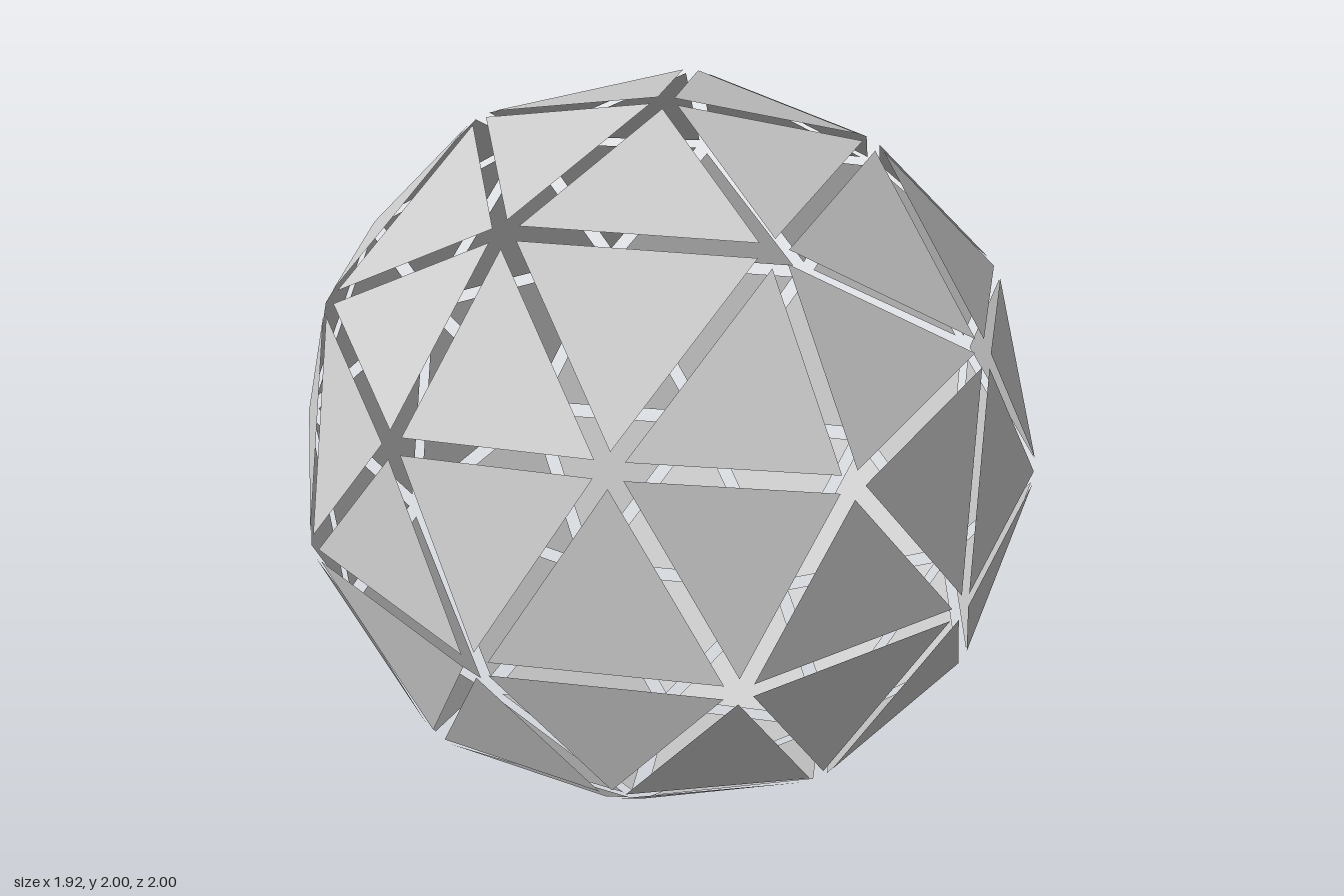
import * as THREE from 'three';

const SHRINK = 0.88; // each panel shrinks about its own centre, leaving gaps
const RADIUS = 1.012; // sphere radius before the gaps are cut

// Point on the unit sphere from height and azimuth in steps of 36 degrees
function onSphere(y, step) {
  const r = Math.sqrt(1 - y * y);
  const a = (step * Math.PI) / 5;
  return new THREE.Vector3(r * Math.cos(a), y, r * Math.sin(a));
}

const middle = (a, b) => a.clone().add(b).normalize();

// One thin triangular panel, wound to face outward
function makePanel(corners, material, name) {
  const [a, b, c] = corners;
  const centre = new THREE.Vector3().add(a).add(b).add(c).divideScalar(3);
  const normal = b.clone().sub(a).cross(c.clone().sub(a));
  const ordered = normal.dot(centre) > 0 ? [a, b, c] : [a, c, b];
  const points = ordered.map((p) => centre.clone().lerp(p, SHRINK).multiplyScalar(RADIUS));
  const geometry = new THREE.BufferGeometry().setFromPoints(points);
  geometry.computeVertexNormals();
  const mesh = new THREE.Mesh(geometry, material);
  mesh.name = name;
  return mesh;
}

export function createModel() {
  const model = new THREE.Group();
  model.name = 'panelSphere';
  const material = new THREE.MeshStandardMaterial({
    color: 0xcccccc, flatShading: true, side: THREE.DoubleSide,
  });

  // Each large face splits into three corner panels and a central one
  function addFace(group, a, b, c) {
    const ab = middle(a, b), bc = middle(b, c), ca = middle(c, a);
    group.add(
      makePanel([a, ab, ca], material, 'cornerPanel'),
      makePanel([b, bc, ab], material, 'cornerPanel'),
      makePanel([c, ca, bc], material, 'cornerPanel'),
      makePanel([ab, bc, ca], material, 'centrePanel'),
    );
  }

  const top = onSphere(1, 0);
  const bottom = onSphere(-1, 0);
  const ringY = 1 / Math.sqrt(5);
  const upper = (i) => onSphere(ringY, 2 * i);
  const lower = (i) => onSphere(-ringY, 2 * i + 1);

  const names = ['topCap', 'upperBand', 'lowerBand', 'bottomCap'];
  const [topCap, upperBand, lowerBand, bottomCap] = names.map((name) => {
    const group = new THREE.Group();
    group.name = name;
    model.add(group);
    return group;
  });

  // Five-fold symmetry about the vertical axis
  for (let i = 0; i < 5; i++) {
    addFace(topCap, top, upper(i), upper(i + 1));
    addFace(upperBand, upper(i), upper(i + 1), lower(i));
    addFace(lowerBand, lower(i), lower(i + 1), upper(i + 1));
    addFace(bottomCap, bottom, lower(i), lower(i + 1));
  }

  model.children.forEach((group) => { group.position.y = 1; });
  return model;
}
